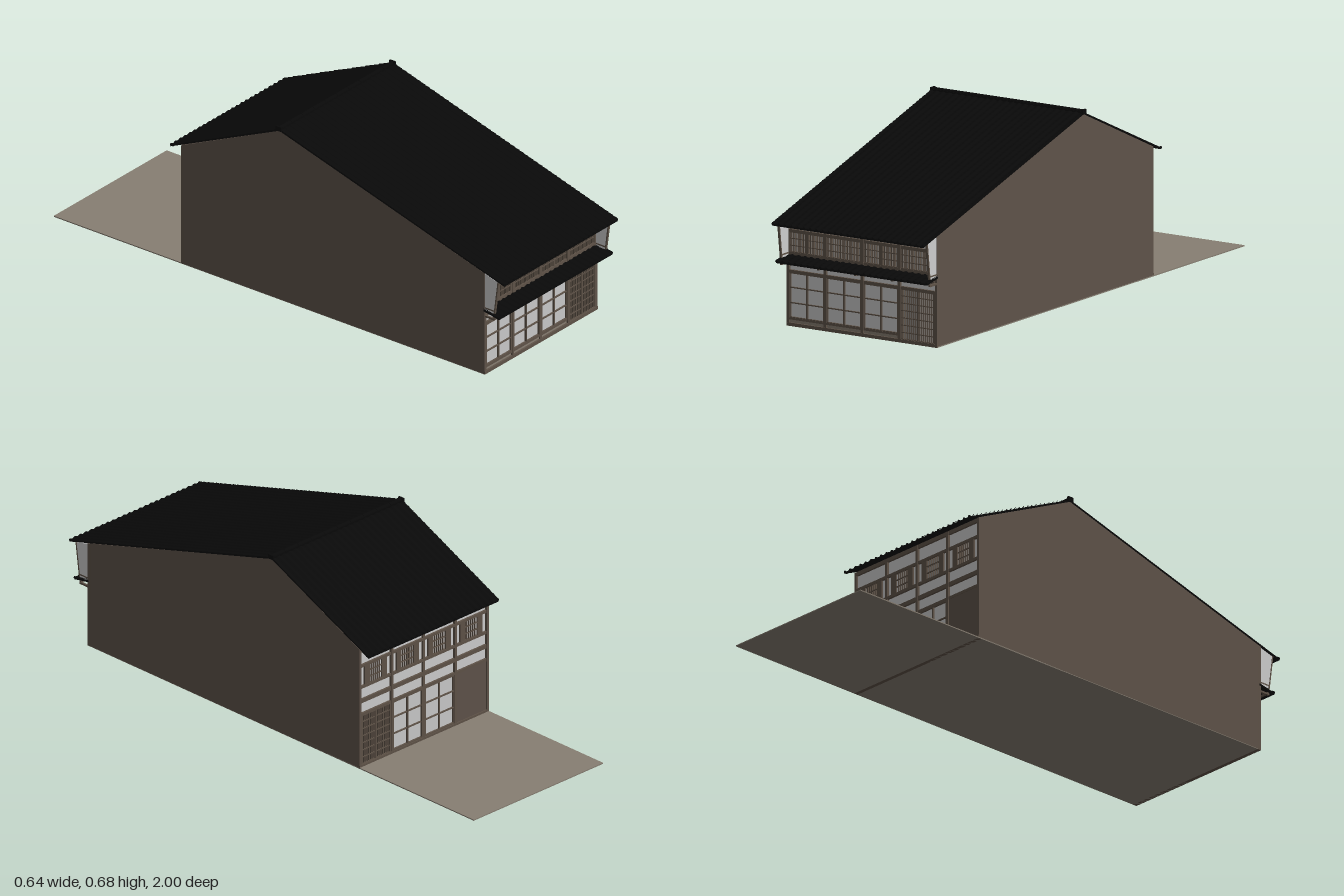
import * as THREE from 'three';

const material = (name, color, side = THREE.FrontSide) => {
  const m = new THREE.MeshStandardMaterial({ color, side });
  m.name = name;
  return m;
};

export function createModel() {
  const timber = material('timber', 0x5f5348);
  const wall = material('wallBoards', 0x5f534a);
  const paper = material('paper', 0xcbcbcb);
  const plaster = material('plaster', 0xcfcfcf);
  const tile = material('roofTile', 0x090909);
  const gravel = material('gravel', 0x877e72);

  const model = new THREE.Group();
  model.name = 'townhouse';

  const add = (parent, name, geometry, mat) => {
    const mesh = new THREE.Mesh(geometry, mat);
    mesh.name = name;
    parent.add(mesh);
    return mesh;
  };
  const box = (parent, name, mat, x0, x1, y0, y1, z0, z1) => {
    const mesh = add(parent, name, new THREE.BoxGeometry(x1 - x0, y1 - y0, z1 - z0), mat);
    mesh.position.set((x0 + x1) / 2, (y0 + y1) / 2, (z0 + z1) / 2);
    return mesh;
  };
  // Extrudes a [z, y] outline along x from x0 to x1
  const sidePrism = (parent, name, mat, points, x0, x1) => {
    const shape = new THREE.Shape(points.map(([z, y]) => new THREE.Vector2(-z, y)));
    const g = new THREE.ExtrudeGeometry(shape, { depth: x1 - x0, bevelEnabled: false });
    g.rotateY(Math.PI / 2).translate(x0, 0, 0);
    return add(parent, name, g, mat);
  };

  // Ground slab and house body
  box(model, 'groundSlab', gravel, -0.315, 0.315, 0, 0.004, -1, 0.91);
  const gable = (zb, zf) => [[zf, 0.002], [zf, 0.66 - 0.29 * zf], [0, 0.66], [zb, 0.66 + 0.455 * zb], [zb, 0.002]];
  sidePrism(model, 'houseCore', wall, gable(-0.42, 0.893), -0.31, 0.31);
  for (const s of [-1, 1]) {
    sidePrism(model, s > 0 ? 'leftGableWall' : 'rightGableWall', wall,
      gable(-0.435, 0.91), Math.min(s * 0.309, s * 0.315), Math.max(s * 0.309, s * 0.315));
  }

  // Tiled slope: rolled columns and stepped courses, falling towards +z
  const COLS = 24;
  const tiledSlope = (parent, name, z0, y0, z1, y1, rows) => {
    const g = new THREE.PlaneGeometry(0.634, 1, COLS * 6, rows * 2 - 1);
    const p = g.attributes.position;
    const across = COLS * 6 + 1;
    for (let i = 0; i < p.count; i++) {
      const line = Math.floor(i / across), lower = line % 2;
      const t = (Math.floor(line / 2) + lower) / rows;
      const roll = 0.0022 * Math.cos((i % across) / 6 * Math.PI * 2);
      p.setXYZ(i, p.getX(i), y0 + (y1 - y0) * t + roll + lower * 0.0025, z0 + (z1 - z0) * t);
    }
    g.computeVertexNormals();
    add(parent, name + 'Tiles', g, tile);
    sidePrism(parent, name + 'Deck', tile,
      [[z0, y0 - 0.001], [z1, y1 - 0.001], [z1, y1 - 0.007], [z0, y0 - 0.008]], -0.316, 0.316);
    // Round tile ends along the eave
    for (let c = 0; c <= COLS; c++) {
      const end = add(parent, name + 'EaveEnd', new THREE.CylinderGeometry(0.0045, 0.0045, 0.012, 8), tile);
      end.rotation.x = Math.PI / 2;
      end.position.set(-0.314 + c * 0.628 / COLS, y1, z1 - 0.005);
    }
  };
  const roof = new THREE.Group();
  roof.name = 'mainRoof';
  model.add(roof);
  tiledSlope(roof, 'frontSlope', 0, 0.668, 0.998, 0.379, 48);
  const rearRoof = new THREE.Group();
  rearRoof.name = 'rearRoof';
  rearRoof.rotation.y = Math.PI;
  roof.add(rearRoof);
  tiledSlope(rearRoof, 'rearSlope', 0, 0.668, 0.481, 0.451, 24);

  // Ridge: a base course under a row of cap tiles
  box(roof, 'ridgeBase', tile, -0.318, 0.318, 0.66, 0.671, -0.01, 0.01);
  for (let i = 0; i < 10; i++) {
    const x = -0.32 + i * 0.064;
    const cap = add(roof, 'ridgeCap', new THREE.CylinderGeometry(0.008, 0.008, 0.0625, 10), tile);
    cap.rotation.z = Math.PI / 2;
    cap.position.set(x + 0.032, 0.669, 0);
  }
  for (const s of [-1, 1]) box(roof, 'ridgeEnd', tile, s * 0.316 - 0.004, s * 0.316 + 0.004, 0.66, 0.677, -0.012, 0.012);

  // Facade helpers, local z = 0 is the outer face
  const POSTS = [-0.31, -0.155, 0, 0.155, 0.31];
  const bar = (f, name, x, w, y0, y1, z = -0.003) => box(f, name, timber, x - w / 2, x + w / 2, y0, y1, -0.01, z);
  const rail = (f, name, x0, x1, y, h, z = -0.003) => box(f, name, timber, x0, x1, y - h / 2, y + h / 2, -0.01, z);
  const beam = (f, name, y0, y1) => box(f, name, timber, -0.312, 0.312, y0, y1, -0.014, -0.001);
  const lattice = (f, name, x0, x1, y0, y1, count, rails, w) => {
    for (let i = 1; i < count; i++) bar(f, name + 'Bar', x0 + (x1 - x0) * i / count, w, y0, y1, -0.004);
    for (let i = 1; i <= rails; i++) rail(f, name + 'Rail', x0, x1, y0 + (y1 - y0) * i / (rails + 1), 0.003, -0.0035);
  };
  const frame = (f, name, x0, x1, y0, y1, w) => {
    for (const x of [x0 + w / 2, x1 - w / 2]) bar(f, name + 'Stile', x, w, y0, y1, -0.002);
    for (const y of [y0 + w / 2, y1 - w / 2]) rail(f, name + 'Rail', x0, x1, y, w, -0.002);
  };
  const paperDoor = (f, x0, x1, y0, y1) => {
    frame(f, 'paperDoor', x0, x1, y0, y1, 0.005);
    bar(f, 'meetingStile', (x0 + x1) / 2, 0.005, y0, y1, -0.002);
    for (const t of [1 / 3, 2 / 3]) rail(f, 'doorMuntin', x0, x1, y0 + (y1 - y0) * t, 0.004);
  };
  const latticeDoor = (f, x0, x1, y0, y1) => {
    frame(f, 'latticeDoor', x0, x1, y0, y1, 0.004);
    lattice(f, 'latticeDoor', x0, x1, y0, y1, 17, 6, 0.003);
    bar(f, 'latticeMeetingStile', (x0 + x1) / 2, 0.006, y0, y1, -0.002);
  };
  const makeFacade = (name, z, turn, top) => {
    const f = new THREE.Group();
    f.name = name;
    f.position.z = z;
    f.rotation.y = turn;
    model.add(f);
    for (const x of POSTS) box(f, 'post', timber, x - 0.005, x + 0.005, 0.004, top, -0.014, 0);
    box(f, 'groundSill', timber, -0.315, 0.315, 0, 0.012, -0.014, 0.001);
    return f;
  };
  const panel = (f, name, mat, y0, y1, x0 = -0.31, x1 = 0.31) => box(f, name, mat, x0, x1, y0, y1, -0.015, -0.009);

  // Street front
  const front = makeFacade('frontFacade', 0.91, 0, 0.392);
  panel(front, 'doorPaper', paper, 0.012, 0.195);
  box(front, 'footPanel', gravel, -0.305, 0.155, 0.012, 0.023, -0.012, -0.006);
  rail(front, 'windowSill', -0.31, 0.155, 0.0265, 0.007, -0.001);
  beam(front, 'doorHeader', 0.19, 0.2);
  panel(front, 'lowerPlaster', plaster, 0.199, 0.226);
  beam(front, 'pentBeam', 0.224, 0.232);
  beam(front, 'upperSill', 0.236, 0.264);
  panel(front, 'upperPaper', paper, 0.262, 0.34);
  beam(front, 'upperHeader', 0.335, 0.345);
  panel(front, 'upperPlaster', plaster, 0.344, 0.37);
  beam(front, 'eaveBeam', 0.368, 0.394);
  for (let b = 0; b < 4; b++) {
    const x0 = POSTS[b] + 0.005, x1 = POSTS[b + 1] - 0.005, mid = (x0 + x1) / 2;
    if (b < 3) paperDoor(front, x0, x1, 0.028, 0.192);
    else latticeDoor(front, x0, x1, 0.01, 0.192);
    frame(front, 'upperWindow', x0, x1, 0.262, 0.337, 0.004);
    lattice(front, 'upperLattice', x0, x1, 0.262, 0.337, 20, 2, 0.0026);
    if (b % 2 === 0) bar(front, 'upperMeetingStile', mid, 0.01, 0.262, 0.337, -0.002);
  }

  // Pent roof between the floors with its brackets
  const pent = new THREE.Group();
  pent.name = 'pentRoof';
  model.add(pent);
  tiledSlope(pent, 'pent', 0.905, 0.255, 0.975, 0.241, 4);
  for (const x of POSTS) box(pent, 'bracket', timber, x - 0.004, x + 0.004, 0.224, 0.231, 0.9, 0.952);
  box(pent, 'pentPurlin', timber, -0.312, 0.312, 0.229, 0.235, 0.945, 0.953);

  // Plastered wing walls under the front eave
  for (const s of [-1, 1]) {
    const span = (a, b) => [Math.min(s * a, s * b), Math.max(s * a, s * b)];
    sidePrism(model, 'wingWall', plaster,
      [[0.905, 0.25], [0.95, 0.25], [0.967, 0.378], [0.905, 0.395]], ...span(0.307, 0.313));
    sidePrism(model, 'wingPost', timber,
      [[0.949, 0.25], [0.954, 0.25], [0.971, 0.378], [0.966, 0.379]], ...span(0.306, 0.314));
    box(model, 'wingFoot', timber, ...span(0.306, 0.314), 0.258, 0.263, 0.905, 0.954);
  }

  // Courtyard back, seen from behind its left end is the lattice door
  const back = makeFacade('backFacade', -0.435, Math.PI, 0.46);
  panel(back, 'doorPaper', paper, 0.012, 0.205);
  beam(back, 'doorHeader', 0.2, 0.21);
  panel(back, 'middlePlaster', plaster, 0.209, 0.255);
  beam(back, 'floorBeam', 0.25, 0.265);
  panel(back, 'upperPlaster', plaster, 0.264, 0.455);
  beam(back, 'upperSill', 0.306, 0.316);
  beam(back, 'upperHeader', 0.388, 0.398);
  beam(back, 'eaveBeam', 0.448, 0.462);
  for (let b = 0; b < 4; b++) {
    const x0 = POSTS[b] + 0.005, x1 = POSTS[b + 1] - 0.005, mid = (x0 + x1) / 2;
    if (b === 0) latticeDoor(back, x0, x1, 0.01, 0.202);
    else if (b < 3) paperDoor(back, x0, x1, 0.012, 0.202);
    else box(back, 'boardPanel', wall, x0, x1, 0.01, 0.202, -0.012, -0.003);
    for (const s of [-1, 1]) bar(back, 'shutter', mid + s * 0.042, 0.024, 0.314, 0.39, -0.002);
    lattice(back, 'upperLattice', mid - 0.03, mid + 0.03, 0.314, 0.39, 6, 2, 0.003);
  }
  return model;
}
